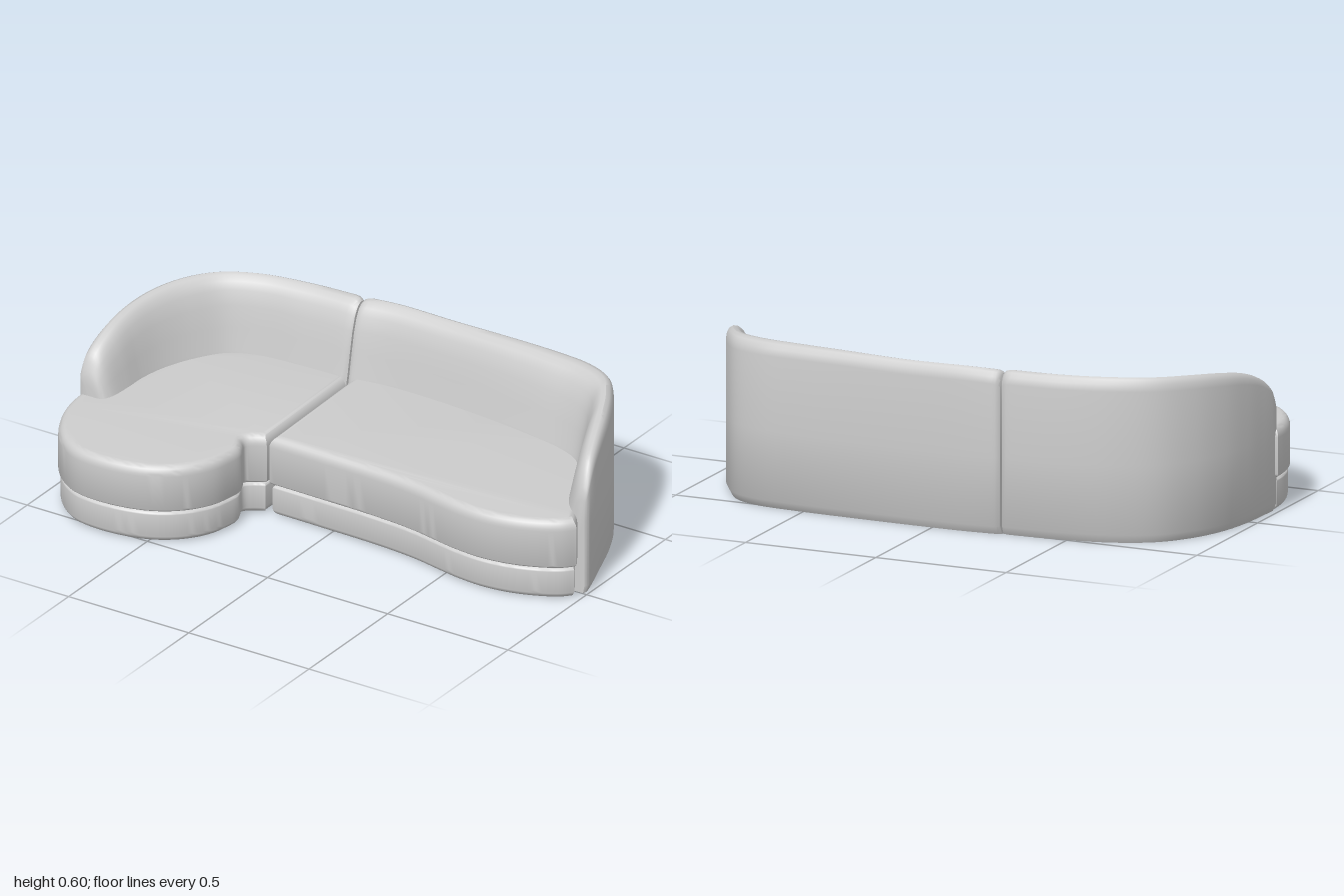
import * as THREE from 'three';
import { toCreasedNormals } from 'three/addons/utils/BufferGeometryUtils.js';

const fabric = new THREE.MeshStandardMaterial({ color: 0xcccccc });
fabric.name = 'grey fabric';

// Plan outlines as [x, z]: a smooth visible front, then straight edges hidden in the back
const chaisePlan = {
  front: [[-0.262, 0.105], [-0.3, 0.125], [-0.325, 0.15], [-0.31, 0.185], [-0.298, 0.22],
    [-0.303, 0.27], [-0.32, 0.34], [-0.36, 0.41], [-0.42, 0.47], [-0.5, 0.515], [-0.6, 0.54],
    [-0.7, 0.545], [-0.79, 0.53], [-0.87, 0.48], [-0.93, 0.41], [-0.975, 0.32], [-0.995, 0.24], [-1, 0.17]],
  back: [[-0.95, 0.15], [-0.92, -0.05], [-0.85, -0.25], [-0.7, -0.42], [-0.5, -0.46], [-0.262, -0.46]],
};
const sofaPlan = {
  front: [[-0.25, 0.107], [-0.12, 0.108], [0, 0.11], [0.13, 0.112], [0.25, 0.118], [0.36, 0.13],
    [0.46, 0.15], [0.56, 0.168], [0.67, 0.175], [0.78, 0.16], [0.88, 0.125], [0.95, 0.085], [0.988, 0.045]],
  back: [[0.955, -0.01], [0.9, -0.14], [0.84, -0.3], [0.72, -0.44], [0.4, -0.47], [-0.25, -0.47]],
};

// Backrest stations: outer x, outer z, inner x, inner z, height
const chaiseBack = [
  [-0.99, 0.185, -0.885, 0.185, 0.37], [-0.99, 0.15, -0.868, 0.14, 0.45], [-0.988, 0.08, -0.86, 0.06, 0.5],
  [-0.98, -0.03, -0.855, -0.03, 0.54], [-0.955, -0.16, -0.83, -0.13, 0.567], [-0.9, -0.29, -0.775, -0.24, 0.583],
  [-0.81, -0.4, -0.7, -0.33, 0.59], [-0.67, -0.475, -0.6, -0.368, 0.592], [-0.48, -0.518, -0.45, -0.38, 0.59],
  [-0.262, -0.535, -0.262, -0.385, 0.59],
];
const sofaBack = [
  [-0.258, -0.54, -0.258, -0.39, 0.588], [-0.12, -0.55, -0.12, -0.413, 0.592], [0.1, -0.552, 0.1, -0.415, 0.59],
  [0.35, -0.55, 0.33, -0.398, 0.595], [0.53, -0.546, 0.5, -0.376, 0.597], [0.68, -0.532, 0.65, -0.348, 0.597],
  [0.78, -0.49, 0.745, -0.305, 0.594], [0.85, -0.4, 0.795, -0.24, 0.585], [0.91, -0.28, 0.825, -0.165, 0.565],
  [0.955, -0.16, 0.86, -0.09, 0.53], [0.985, -0.07, 0.895, -0.035, 0.485], [1, -0.005, 0.93, 0, 0.39],
];

// Backrest section: position across the thickness and share of the height above the seat
const SEAT = 0.28;
const crown = [[0, 0], [0, 0.85], [0.03, 0.93], [0.1, 0.98], [0.2, 1], [0.33, 0.985], [0.45, 0.93],
  [0.56, 0.84], [0.68, 0.67], [0.8, 0.42], [0.92, 0.15], [1, 0]];

function addMesh(group, geometry, name) {
  const mesh = new THREE.Mesh(geometry, fabric);
  mesh.name = name;
  group.add(mesh);
}

// Soft-edged slab: separate rounding heights at bottom and top, gently falling to the front
function slab(plan, y0, y1, bottomR, topR, inset, slope) {
  const shape = new THREE.Shape();
  shape.moveTo(plan.front[0][0], -plan.front[0][1]);
  shape.splineThru(plan.front.slice(1).map(([x, z]) => new THREE.Vector2(x, -z)));
  plan.back.forEach(([x, z]) => shape.lineTo(x, -z));
  const size = 0.03;
  const geo = new THREE.ExtrudeGeometry(shape, {
    depth: 1, curveSegments: 4, bevelEnabled: true, bevelThickness: 1,
    bevelSize: size, bevelOffset: -size - inset, bevelSegments: 6,
  });
  geo.rotateX(-Math.PI / 2);
  const p = geo.attributes.position;
  for (let i = 0; i < p.count; i++) {
    const h = p.getY(i);
    let y = y0 + bottomR + h * (y1 - y0 - bottomR - topR);
    if (h < 0) y = y0 + bottomR * (1 + h);
    if (h > 1) y = y1 - topR * (2 - h);
    p.setY(i, y - slope * p.getZ(i) * (y - y0) / (y1 - y0));
  }
  geo.deleteAttribute('uv');
  return toCreasedNormals(geo, 0.65);
}

// Curved backrest: loops of the section along the stations, tapered at both ends
function backrest(stations, startTaper, endTaper) {
  const outer = new THREE.CatmullRomCurve3(stations.map(s => new THREE.Vector3(s[0], s[4], s[1])));
  const inner = new THREE.CatmullRomCurve3(stations.map(s => new THREE.Vector3(s[2], 0, s[3])));
  const steps = [...startTaper];
  const first = startTaper.at(-1)[0], last = endTaper[0][0], n = 56;
  for (let i = 1; i < n; i++) steps.push([first + (last - first) * i / n, 1]);
  steps.push(...endTaper);

  const pos = [], index = [];
  const count = crown.length + 3;
  for (const [t, k] of steps) {
    const o = outer.getPoint(t), q = inner.getPoint(t);
    const h = o.y - (1 - k) * 0.08;
    const section = [[0.12, 0], [0, 0.03], ...crown.map(([u, v]) => [u, SEAT + (h - SEAT) * v]), [1, 0]];
    for (const [u, y] of section) {
      const w = 0.5 + (u - 0.5) * k;
      pos.push(o.x + (q.x - o.x) * w, y, o.z + (q.z - o.z) * w);
    }
  }
  for (let i = 0; i < steps.length - 1; i++) {
    for (let j = 0; j < count; j++) {
      const a = i * count + j, b = i * count + (j + 1) % count;
      index.push(a, b, a + count, b, b + count, a + count);
    }
  }
  // End caps
  for (const row of [0, steps.length - 1]) {
    const base = row * count, centre = pos.length / 3;
    const a = base * 3, b = (base + count - 1) * 3;
    pos.push((pos[a] + pos[b]) / 2, 0.2, (pos[a + 2] + pos[b + 2]) / 2);
    for (let j = 0; j < count; j++) {
      const c = base + j, d = base + (j + 1) % count;
      if (row) index.push(centre, c, d);
      else index.push(centre, d, c);
    }
  }
  const geo = new THREE.BufferGeometry();
  geo.setAttribute('position', new THREE.Float32BufferAttribute(pos, 3));
  geo.setIndex(index);
  return toCreasedNormals(geo, 0.65);
}

// Each taper entry is [place along the backrest, thickness factor]
const seamStart = [[0, 0.84], [0.004, 0.93], [0.01, 0.98], [0.018, 1]];
const armEnd = [[0.965, 1], [0.98, 0.97], [0.991, 0.88], [1, 0.66]];
const flip = taper => taper.map(([t, k]) => [1 - t, k]).reverse();

export function createModel() {
  const model = new THREE.Group();
  model.name = 'curvedSofa';
  const modules = [
    ['chaise', chaisePlan, backrest(chaiseBack, flip(armEnd), flip(seamStart))],
    ['sofa', sofaPlan, backrest(sofaBack, seamStart, armEnd)],
  ];
  for (const [name, plan, back] of modules) {
    const group = new THREE.Group();
    group.name = name + 'Module';
    addMesh(group, slab(plan, 0, 0.122, 0.03, 0.015, 0.008, 0), name + 'Base');
    addMesh(group, slab(plan, 0.118, 0.31, 0.018, 0.04, 0, 0.025), name + 'SeatCushion');
    addMesh(group, back, name + 'Backrest');
    model.add(group);
  }
  return model;
}
